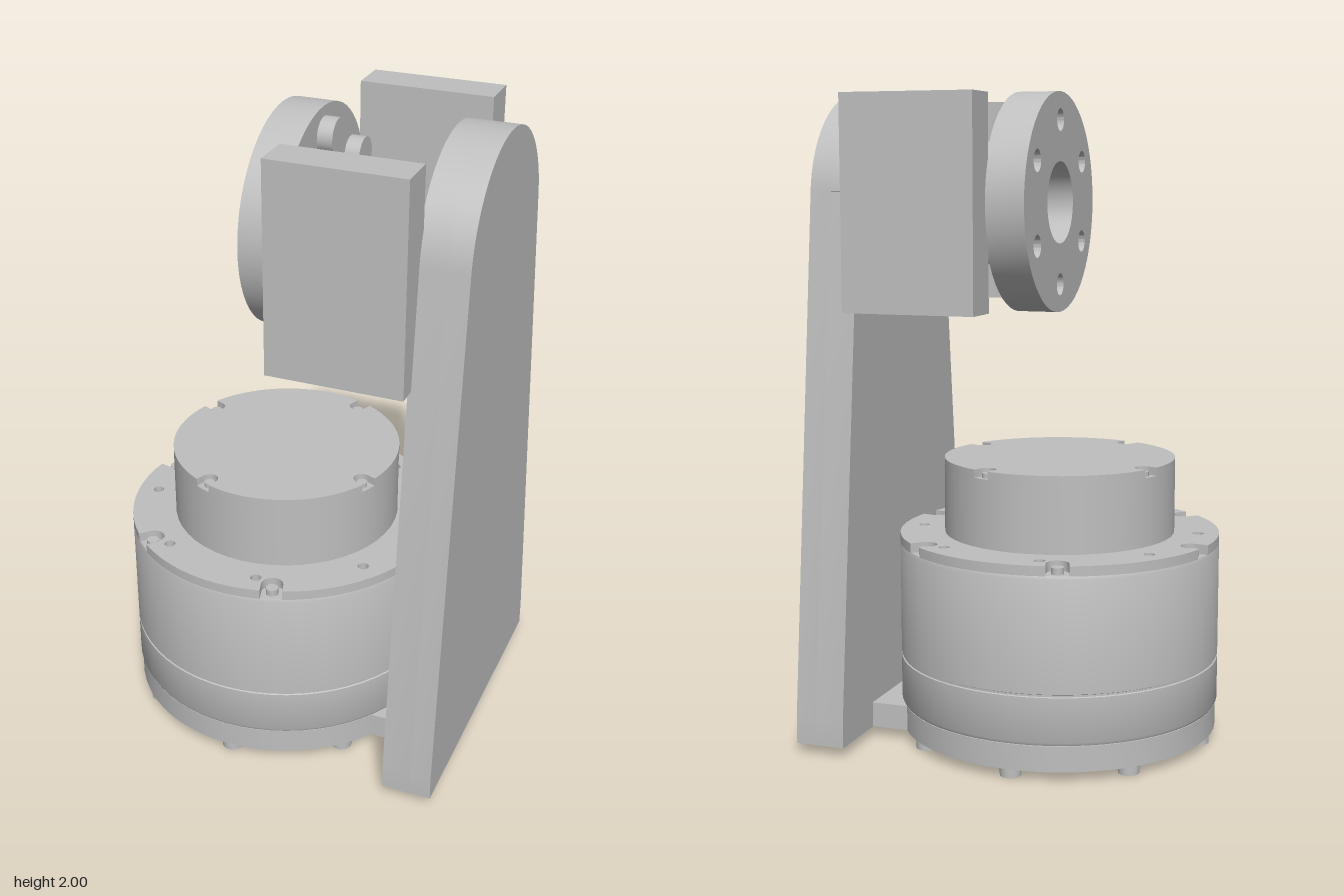
import * as THREE from 'three';
import { toCreasedNormals } from 'three/addons/utils/BufferGeometryUtils.js';

const grey = new THREE.MeshStandardMaterial({ color: 0xbfbfbf });
grey.name = 'machined grey';

const CX = -0.09;      // motor axis
const HUB_Y = 1.665;   // upper joint axis

function add(parent, name, geometry, x = 0, y = 0, z = 0) {
  const mesh = new THREE.Mesh(geometry, grey);
  mesh.name = name;
  mesh.position.set(x, y, z);
  parent.add(mesh);
  return mesh;
}

// n points evenly spread on a circle
function ring(n, r, start = 0) {
  return Array.from({ length: n }, (_, i) => {
    const a = start + (i / n) * Math.PI * 2;
    return [r * Math.cos(a), r * Math.sin(a)];
  });
}

function circle(r) {
  return new THREE.Shape().absarc(0, 0, r, 0, Math.PI * 2, false);
}

function punch(shape, centres, r) {
  for (const [x, y] of centres) {
    shape.holes.push(new THREE.Path().absarc(x, y, r, 0, Math.PI * 2, true));
  }
  return shape;
}

// Disc outline with U-shaped notches open to the rim
function notchedDisc(R, n, start, notchR, half) {
  const pts = [];
  const step = (Math.PI * 2) / n;
  const edge = Math.asin(half / R);
  for (let i = 0; i < n; i++) {
    const a = start + i * step;
    for (let k = 0; k <= 8; k++) {
      const t = Math.PI / 2 + (k / 8) * Math.PI;
      const u = notchR + half * Math.cos(t), v = -half * Math.sin(t);
      pts.push(new THREE.Vector2(u * Math.cos(a) - v * Math.sin(a), u * Math.sin(a) + v * Math.cos(a)));
    }
    const m = Math.ceil(60 / n);
    for (let k = 0; k <= m; k++) {
      const t = a + edge + (k / m) * (step - 2 * edge);
      pts.push(new THREE.Vector2(R * Math.cos(t), R * Math.sin(t)));
    }
  }
  return new THREE.Shape(pts);
}

function extrude(shape, depth) {
  return new THREE.ExtrudeGeometry(shape, { depth, bevelEnabled: false, curveSegments: 28 });
}
// Slab lying flat, from y = 0 down to -depth; shape (x, y) becomes (x, z)
const slabY = (shape, depth) => toCreasedNormals(extrude(shape, depth).rotateX(Math.PI / 2), 0.6);
// Slab standing upright, from x = 0 to depth; shape (x, y) becomes (-z, y)
const slabX = (shape, depth) => toCreasedNormals(extrude(shape, depth).rotateY(Math.PI / 2), 0.6);

function buildMotor() {
  const g = new THREE.Group();
  g.name = 'motor';
  g.position.x = CX;

  // Main body with a shallow seam near the bottom
  const profile = [[0.37, 0.11], [0.495, 0.11], [0.5, 0.12], [0.5, 0.255], [0.496, 0.257], [0.496, 0.263],
    [0.5, 0.265], [0.5, 0.605], [0.496, 0.615], [0, 0.615]].map(([r, y]) => new THREE.Vector2(r, y));
  add(g, 'motorBody', toCreasedNormals(new THREE.LatheGeometry(profile, 64).toNonIndexed(), 0.6));

  // Top flange: six screw notches and eight small holes
  const a0 = THREE.MathUtils.degToRad(12.5);
  const flange = punch(notchedDisc(0.5, 6, a0, 0.462, 0.034),
    ring(8, 0.435, THREE.MathUtils.degToRad(-10.5)), 0.017);
  add(g, 'topFlange', slabY(flange, 0.03), 0, 0.645, 0);
  for (const [x, z] of ring(6, 0.465, a0)) {
    add(g, 'flangeScrew', new THREE.CylinderGeometry(0.019, 0.019, 0.02, 16), x, 0.625, z);
  }

  // Upper drum with four notches in its rim
  const a1 = THREE.MathUtils.degToRad(22.5);
  add(g, 'drum', new THREE.CylinderGeometry(0.36, 0.36, 0.21, 48), 0, 0.75, 0);
  add(g, 'drumCap', slabY(notchedDisc(0.36, 4, a1, 0.331, 0.027), 0.025), 0, 0.88, 0);
  for (const [x, z] of ring(4, 0.331, a1)) {
    add(g, 'drumScrew', new THREE.CylinderGeometry(0.016, 0.016, 0.015, 16), x, 0.862, z);
  }

  // Underside: output disc with a bore, bolt holes and a ring groove
  add(g, 'outputRing', slabY(punch(circle(0.36), [[0, 0]], 0.265), 0.075), 0, 0.11, 0);
  const output = punch(punch(circle(0.258), [[0, 0]], 0.11), ring(6, 0.18, 0.3), 0.024);
  add(g, 'outputDisc', slabY(output, 0.075), 0, 0.11, 0);
  add(g, 'innerFloor', new THREE.CylinderGeometry(0.375, 0.375, 0.02, 48), 0, 0.11, 0);
  return g;
}

function buildFrame() {
  const g = new THREE.Group();
  g.name = 'frame';

  // Base ring under the motor, joined to the upright by a bridge
  add(g, 'baseRing', slabY(punch(circle(0.495), [[0, 0]], 0.372), 0.078), CX, 0.108, 0);
  add(g, 'baseBridge', new THREE.BoxGeometry(0.135, 0.078, 0.56), 0.3725, 0.069, 0);
  for (const [x, z] of ring(8, 0.457)) {
    add(g, 'baseBolt', new THREE.CylinderGeometry(0.032, 0.032, 0.03, 20), CX + x, 0.015, z);
  }

  // Tapered upright with a round top; blind holes on the inner face
  const outline = () => {
    const s = new THREE.Shape();
    s.moveTo(-0.495, 0.03);
    s.lineTo(0.495, 0.03);
    s.lineTo(0.495, 0.11);
    s.lineTo(0.333, 1.7);
    s.absarc(0, HUB_Y, 0.335, 0.105, Math.PI - 0.105, false);
    s.lineTo(-0.495, 0.11);
    s.closePath();
    return s;
  };
  const boltCentres = ring(6, 0.25, Math.PI / 2).map(([u, v]) => [u, v + HUB_Y]);
  add(g, 'uprightInner', slabX(punch(outline(), boltCentres, 0.058), 0.09), 0.435, 0, 0);
  add(g, 'uprightOuter', slabX(outline(), 0.065), 0.525, 0, 0);

  // Two blocks reaching from the upright to the hub disc
  for (const side of [-1, 1]) {
    add(g, 'sideBlock', new THREE.BoxGeometry(0.415, 0.64, 0.126), 0.2375, 1.665, side * 0.369);
  }
  return g;
}

function buildHub() {
  const g = new THREE.Group();
  g.name = 'hub';
  g.position.y = HUB_Y;
  const bolts = ring(6, 0.25, Math.PI / 2);
  const disc = punch(punch(circle(0.335), [[0, 0]], 0.125), bolts, 0.034);
  add(g, 'hubDisc', slabX(disc, 0.125), CX, 0, 0);
  for (const [z, y] of bolts) {
    const head = new THREE.CylinderGeometry(0.055, 0.055, 0.047, 24).rotateZ(Math.PI / 2);
    add(g, 'hubBoltHead', head, 0.0585, y, z);
  }
  return g;
}

export function createModel() {
  const model = new THREE.Group();
  model.name = 'motorBracketAssembly';
  model.add(buildMotor(), buildFrame(), buildHub());
  return model;
}
